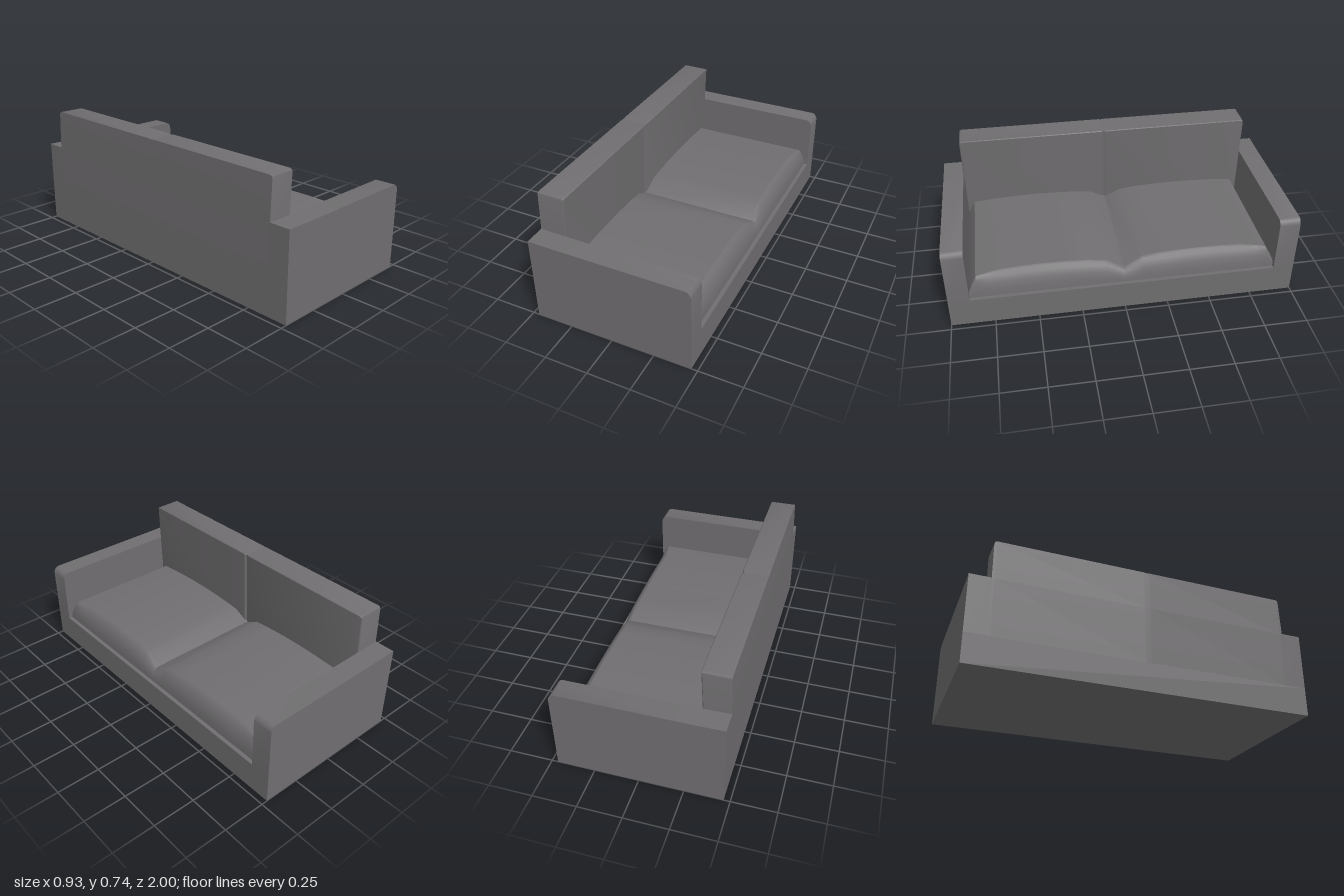
import * as THREE from 'three';
import { toCreasedNormals } from 'three/addons/utils/BufferGeometryUtils.js';

// Skin matching cross-sections along z; each is { z, pts } with pts [x, y] counter-clockwise
function loft(sections, crease) {
  const n = sections[0].pts.length;
  const last = (sections.length - 1) * n;
  const positions = [], index = [];
  for (const { z, pts } of sections) for (const [x, y] of pts) positions.push(x, y, z);
  for (let i = 0; i < sections.length - 1; i++) {
    for (let j = 0; j < n; j++) {
      const a = i * n + j, b = i * n + (j + 1) % n;
      index.push(a, b, b + n, a, b + n, a + n);
    }
  }
  for (let j = 1; j < n - 1; j++) {
    index.push(0, j + 1, j);
    index.push(last, last + j, last + j + 1);
  }
  const g = new THREE.BufferGeometry();
  g.setAttribute('position', new THREE.Float32BufferAttribute(positions, 3));
  g.setIndex(index);
  return toCreasedNormals(g, crease);
}

export function createModel() {
  const sofa = new THREE.Group();
  sofa.name = 'sofa';
  const fabric = new THREE.MeshStandardMaterial({ color: 0x706e70 });
  fabric.name = 'grey fabric';
  const add = (name, geometry) => {
    const mesh = new THREE.Mesh(geometry, fabric);
    mesh.name = name;
    sofa.add(mesh);
    return mesh;
  };

  const half = 0.465, baseTop = 0.17, inner = 0.88;

  // Solid base
  add('base', new THREE.BoxGeometry(half * 2, baseTop, 2)).position.y = baseTop / 2;

  // Armrests with a rounded upper front corner
  const arm = new THREE.Shape();
  arm.moveTo(-half, baseTop);
  arm.lineTo(half, baseTop);
  arm.lineTo(half, 0.47);
  arm.quadraticCurveTo(0.459, 0.496, 0.437, 0.505);
  arm.lineTo(-0.32, 0.505);
  arm.lineTo(-half, 0.508);
  const armGeometry = toCreasedNormals(
    new THREE.ExtrudeGeometry(arm, { depth: 1 - inner, bevelEnabled: false, curveSegments: 5 }), 0.6);
  add('leftArmrest', armGeometry).position.z = -1;
  add('rightArmrest', armGeometry).position.z = inner;

  // Backrest: slightly tilted slab, softened ends and a shallow centre seam
  const backSection = (z, top, inset) => ({
    z,
    pts: [
      [-half, baseTop], [-0.325 - inset, baseTop], [-0.302 - inset, top - 0.004],
      [-0.306 - inset, top], [-0.457, top + 0.001], [-half, 0.505],
    ],
  });
  add('backrest', loft([
    backSection(-inner, 0.725, 0.008),
    backSection(-0.876, 0.736, 0.003),
    backSection(-0.865, 0.741, 0),
    backSection(-0.012, 0.741, 0),
    backSection(0.008, 0.739, 0.01),
    backSection(0.02, 0.741, 0),
    backSection(0.865, 0.741, 0),
    backSection(0.876, 0.736, 0.003),
    backSection(inner, 0.725, 0.008),
  ], 0.5));

  // Seat: two domed cushions meeting in a valley, with a rolled front edge
  const seatSection = (z, top, edge) => {
    const h = top - baseTop;
    const roll = [[1, 0], [0.95, 0.3], [0.77, 0.6], [0.47, 0.84], [0.2, 0.96], [0, 1]];
    const front = roll.map(([u, v]) => [edge + (0.442 - edge) * u, baseTop + h * v]);
    return { z, pts: [[-0.33, baseTop], ...front, [-0.33, top]] };
  };
  // Distance from the middle, crown height, start of the front roll
  const crown = [
    [0, 0.245, 0.395], [0.1, 0.296, 0.382], [0.2, 0.306, 0.38], [0.33, 0.313, 0.38],
    [0.45, 0.315, 0.38], [0.57, 0.313, 0.38], [0.7, 0.306, 0.382], [0.78, 0.299, 0.395],
    [0.835, 0.294, 0.408], [0.86, 0.25, 0.425], [inner, 0.205, 0.435],
  ];
  const seat = [
    ...crown.slice(1).reverse().map(([d, y, e]) => seatSection(-d, y, e)),
    ...crown.map(([d, y, e]) => seatSection(d, y, e)),
  ];
  add('seatCushions', loft(seat, 0.4));

  return sofa;
}
